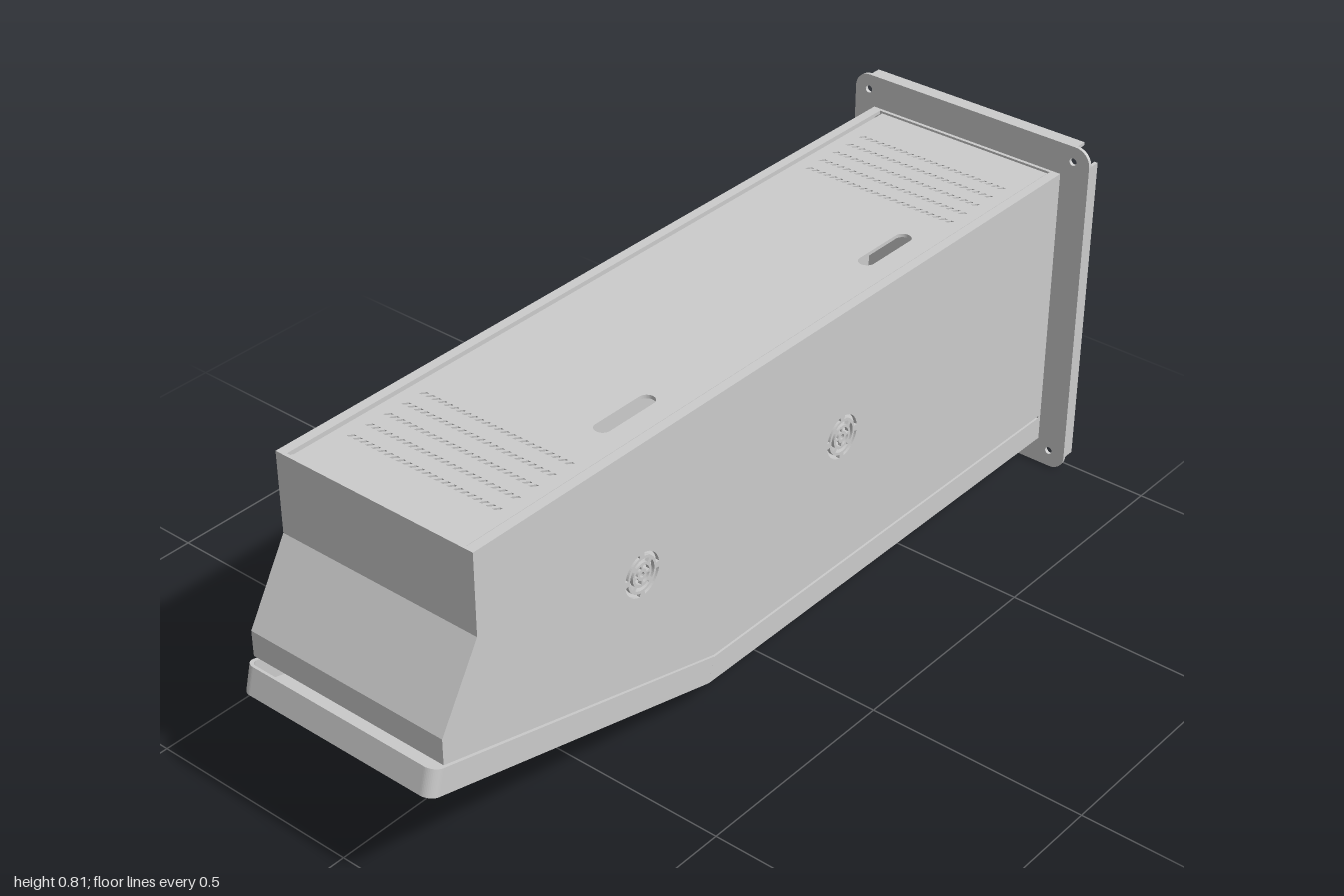
import * as THREE from 'three';

const T = 0.008;                       // sheet thickness
const HW = 0.248;                      // half width of the housing
const BACK = -0.957;                   // rear end of the housing
const BEND = { z: 0.215, y: 0.07 };    // fold line of the underside
const NOSE = { z: 1.0, y: 0.275 };     // front end of the underside
const mat = new THREE.MeshStandardMaterial({ color: 0xcccccc, side: THREE.DoubleSide });

function mesh(parent, name, geo) {
  const m = new THREE.Mesh(geo, mat);
  m.name = name;
  parent.add(m);
  return m;
}
function box(parent, name, x0, x1, y0, y1, z0, z1) {
  const g = new THREE.BoxGeometry(x1 - x0, y1 - y0, z1 - z0);
  return mesh(parent, name, g.translate((x0 + x1) / 2, (y0 + y1) / 2, (z0 + z1) / 2));
}
const extrude = (shape, depth, curveSegments = 6) =>
  new THREE.ExtrudeGeometry(shape, { depth, bevelEnabled: false, curveSegments });
const poly = (pts) => new THREE.Shape(pts.map(([x, y]) => new THREE.Vector2(x, y)));
const rect = (x0, x1, y0, y1) => poly([[x0, y0], [x1, y0], [x1, y1], [x0, y1]]);
const disc = (x, y, r) => new THREE.Path().absarc(x, y, r, 0, Math.PI * 2, false);

// side outline given as [z, y], extruded across x
const sideSheet = (shape, x, depth) => extrude(shape, depth).rotateY(Math.PI / 2).translate(x, 0, 0);
const sidePoly = (pts) => poly(pts.map(([z, y]) => [-z, y]));

function roundedRect(x0, x1, y0, y1, r) {
  const s = new THREE.Shape();
  s.absarc(x1 - r, y0 + r, r, -Math.PI / 2, 0, false);
  s.absarc(x1 - r, y1 - r, r, 0, Math.PI / 2, false);
  s.absarc(x0 + r, y1 - r, r, Math.PI / 2, Math.PI, false);
  s.absarc(x0 + r, y0 + r, r, Math.PI, Math.PI * 1.5, false);
  s.closePath();
  return s;
}

// concentric arc slots of a round grille
function grilleHoles(z, y) {
  const holes = [disc(-z, y, 0.006)];
  [0.017, 0.031, 0.045].forEach((r, ring) => {
    for (let i = 0; i < 4; i++) {
      const a = (i + (ring % 2) / 2) * Math.PI / 2 + 0.15, b = a + Math.PI / 2 - 0.3;
      const p = new THREE.Path();
      p.absarc(-z, y, r + 0.004, a, b, false);
      p.absarc(-z, y, r - 0.004, b, a, true);
      p.closePath();
      holes.push(p);
    }
  });
  return holes;
}

function addBody(g) {
  // side walls, the left one with two round grilles
  const outline = [[BACK, 0.745], [0.86, 0.745], [0.86, 0.562], [0.96, 0.392], [0.96, 0.333], [0.2, 0.133], [BACK, 0.133]];
  const left = sidePoly(outline);
  left.holes.push(...grilleHoles(0.415, 0.45), ...grilleHoles(-0.205, 0.45));
  mesh(g, 'leftWall', sideSheet(left, HW - T, T));
  mesh(g, 'rightWall', sideSheet(sidePoly(outline), -HW, T));

  // folded front wall
  const front = sidePoly([[0.86, 0.745], [0.86, 0.562], [0.96, 0.392], [0.96, 0.333],
    [0.952, 0.333], [0.952, 0.39], [0.852, 0.56], [0.852, 0.745]]);
  mesh(g, 'frontWall', sideSheet(front, -HW + T, 2 * (HW - T)));
  box(g, 'rearWall', -HW, HW, 0.07, 0.745, BACK, BACK + T);

  // inward flanges along the top edges
  for (const s of [-1, 1]) {
    const a = s * HW, b = s * 0.226;
    box(g, 'topFlange', Math.min(a, b), Math.max(a, b), 0.737, 0.745, BACK, 0.86);
  }

  // lid with rows of slanted vents and two hand slots, drawn in x and -z
  const lid = rect(-0.22, 0.22, -0.85, -BACK - T);
  for (const z0 of [-0.83, 0.54]) {
    for (let row = 0; row < 5; row++) {
      for (let i = 0; i < 24; i++) {
        const x = -0.184 + i * 0.016, v = -(z0 + row * 0.0475);
        lid.holes.push(poly([[x - 0.008, v - 0.006], [x - 0.001, v - 0.006], [x + 0.008, v + 0.006], [x + 0.001, v + 0.006]]));
      }
    }
  }
  for (const z of [-0.46, 0.35]) lid.holes.push(roundedRect(0.134, 0.17, -z - 0.08, -z + 0.08, 0.0179));
  mesh(g, 'ventedLid', extrude(lid, T).rotateX(-Math.PI / 2).translate(0, 0.732, 0));
  box(g, 'lidSupport', -HW + T, HW - T, 0.722, 0.732, 0.835, 0.852);
}

function addTray(g) {
  // flat rear part of the underside
  box(g, 'trayFloor', -HW, HW, 0.07, 0.07 + T, BACK, BEND.z);
  const skirt = sidePoly([[BACK, 0.07], [BEND.z, 0.07], [0.2, 0.127], [BACK, 0.127]]);
  for (const x of [-HW, HW - T]) mesh(g, 'traySkirt', sideSheet(skirt, x, T));

  // sloped front part: drawn flat, then tilted
  const dz = NOSE.z - BEND.z, dy = NOSE.y - BEND.y;
  const L = Math.hypot(dz, dy), r = 0.025;
  const slope = new THREE.Group();
  slope.name = 'slopedTray';
  slope.position.set(0, BEND.y, BEND.z);
  slope.rotation.x = Math.PI / 2 - Math.atan2(dy, dz);
  g.add(slope);

  const floor = new THREE.Shape();
  floor.moveTo(-HW, 0);
  floor.lineTo(HW, 0);
  floor.absarc(HW - r, L - r, r, 0, Math.PI / 2, false);
  floor.absarc(-HW + r, L - r, r, Math.PI / 2, Math.PI, false);
  floor.closePath();
  floor.holes.push(rect(-0.147, 0.145, 0.198, 0.675), rect(0.012, 0.145, 0.014, 0.08), disc(0.002, 0.743, 0.008));
  mesh(slope, 'slopedFloor', extrude(floor, T).translate(0, 0, -T));

  // upright rim around the sloped floor
  const rim = new THREE.Shape();
  rim.moveTo(-HW, 0);
  rim.absarc(-HW + r, L - r, r, Math.PI, Math.PI / 2, true);
  rim.absarc(HW - r, L - r, r, Math.PI / 2, 0, true);
  rim.lineTo(HW, 0);
  rim.lineTo(HW - T, 0);
  rim.absarc(HW - r, L - r, r - T, 0, Math.PI / 2, false);
  rim.absarc(-HW + r, L - r, r - T, Math.PI / 2, Math.PI, false);
  rim.lineTo(-HW + T, 0);
  rim.closePath();
  mesh(slope, 'slopedRim', extrude(rim, 0.06).translate(0, 0, -0.06));

  // open shroud below the flat floor
  const shroud = roundedRect(-0.054, 0.054, -0.075, 0.235, 0.008);
  shroud.holes.push(roundedRect(-0.047, 0.047, -0.068, 0.228, 0.004));
  mesh(g, 'lowerShroud', extrude(shroud, 0.067).rotateX(-Math.PI / 2).translate(0, 0.003, 0));
}

function addMount(g) {
  // wall plate with screw holes in its rounded corners
  const W = 0.31, H = 0.813, F = -0.967;
  const plate = roundedRect(-W, W, 0, H, 0.037);
  for (const x of [-0.274, 0.269]) for (const y of [0.04, 0.777]) plate.holes.push(disc(x, y, 0.009));
  mesh(g, 'mountPlate', extrude(plate, T).translate(0, 0, F - T));

  // flanges folded to the rear between the corners
  for (const y of [0, H - T]) box(g, 'plateFlange', -W + 0.037, W - 0.037, y, y + T, -1, F - T);
  for (const x of [-W, W - T]) box(g, 'plateFlange', x, x + T, 0.037, H - 0.037, -1, F - T);
}

export function createModel() {
  const model = new THREE.Group();
  model.name = 'wallHousing';
  const parts = { body: addBody, tray: addTray, mount: addMount };
  for (const [name, build] of Object.entries(parts)) {
    const g = new THREE.Group();
    g.name = name;
    if (name !== 'mount') g.position.x = -0.002;
    build(g);
    model.add(g);
  }
  return model;
}
